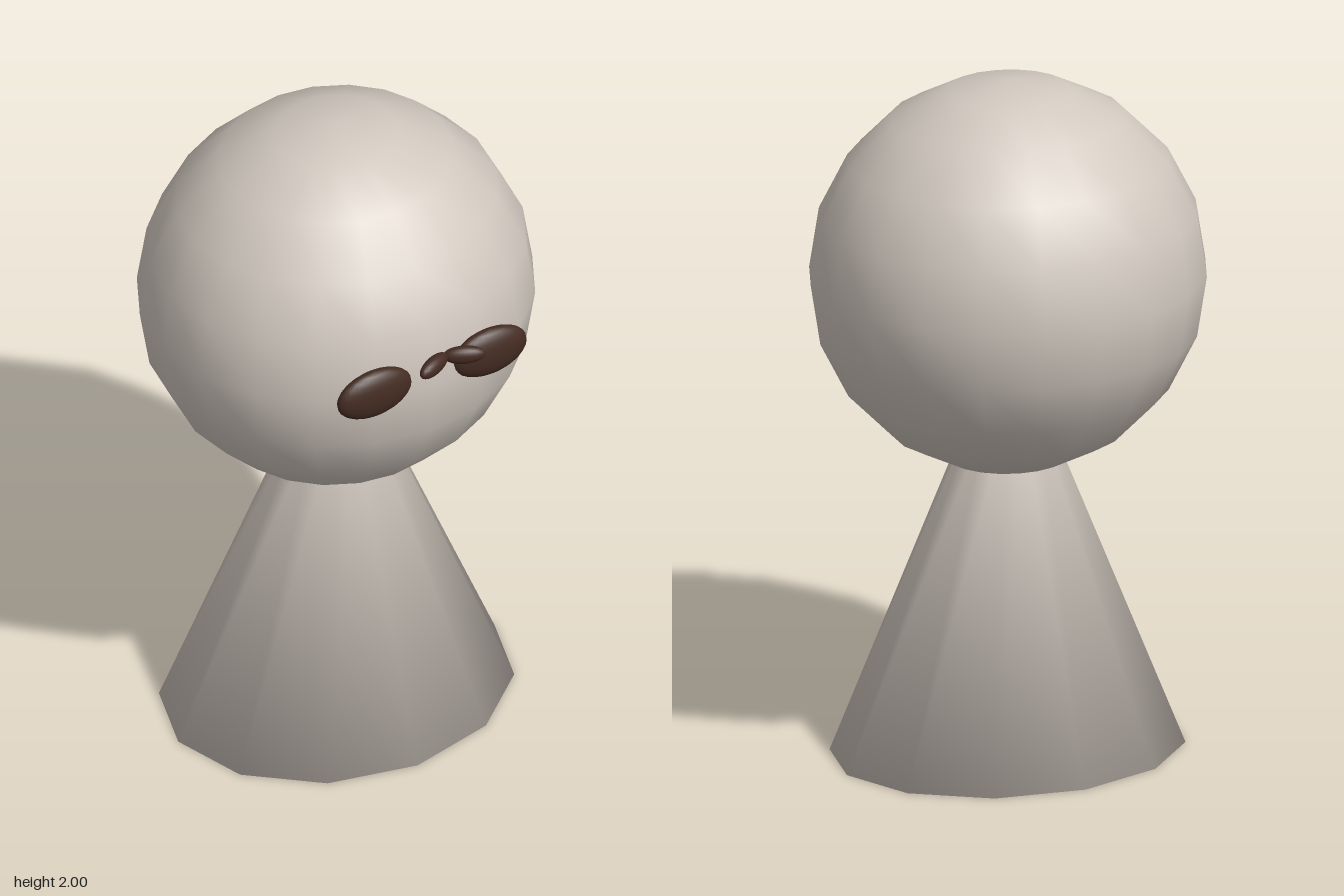
import * as THREE from 'three';

export function createModel() {
  const model = new THREE.Group();
  model.name = 'figure';

  const pale = new THREE.MeshStandardMaterial({ color: 0xd1c8bf });
  pale.name = 'pale stone';
  const brown = new THREE.MeshStandardMaterial({ color: 0x442c22 });
  brown.name = 'dark brown';

  function ellipsoid(name, material, radii, position, segments, rings, turn = 0) {
    const mesh = new THREE.Mesh(new THREE.SphereGeometry(1, segments, rings), material);
    mesh.name = name;
    mesh.scale.set(...radii);
    mesh.position.set(...position);
    mesh.rotation.y = turn;
    model.add(mesh);
  }

  // Oval tapered body, its base rim shaded softly into the underside
  const height = 1.0;
  const bodyGeometry = new THREE.CylinderGeometry(0.112, 0.525, height, 12);
  bodyGeometry.translate(0, height / 2, 0);
  const p = bodyGeometry.attributes.position;
  const n = bodyGeometry.attributes.normal;
  const v = new THREE.Vector3();
  for (let i = 0; i < p.count; i++) {
    const x = p.getX(i), z = p.getZ(i);
    if (p.getY(i) < 0.001 && Math.hypot(x, z) > 0.1) {
      v.set(x / 0.525, -0.6, z / 0.525).normalize();
      n.setXYZ(i, v.x, v.y, v.z);
    }
  }
  bodyGeometry.scale(1, 1, 0.85);
  const body = new THREE.Mesh(bodyGeometry, pale);
  body.name = 'body';
  body.position.z = -0.05;
  model.add(body);

  // Round head
  ellipsoid('head', pale, [0.577, 0.577, 0.547], [0, 1.423, -0.053], 20, 10);

  // Eyes and the two halves of the joined brow
  for (const [side, s] of [['left', 1], ['right', -1]]) {
    ellipsoid(side + 'Eye', brown, [0.122, 0.078, 0.037], [s * 0.191, 1.457, 0.474], 24, 14);
    ellipsoid(side + 'Brow', brown, [0.062, 0.028, 0.023], [s * 0.05, 1.56, 0.568], 20, 12, -s * 0.42);
  }

  return model;
}
